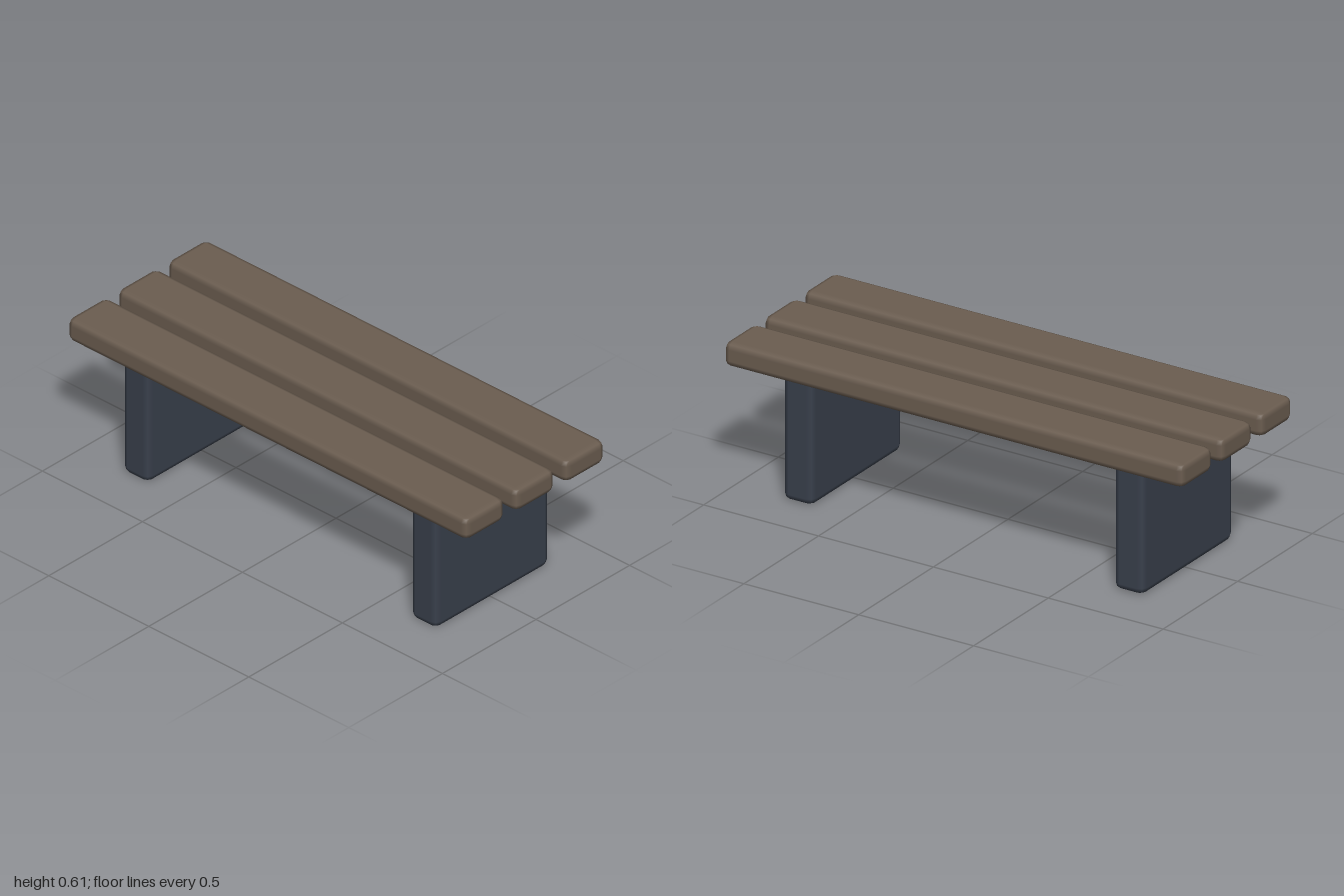
import * as THREE from 'three';
import { RoundedBoxGeometry } from 'three/addons/geometries/RoundedBoxGeometry.js';

export function createModel() {
  const bench = new THREE.Group();
  bench.name = 'bench';

  const wood = new THREE.MeshStandardMaterial({ color: 0x6b5d50 });
  wood.name = 'brown wood';
  const slate = new THREE.MeshStandardMaterial({ color: 0x39404c });
  slate.name = 'dark slate';

  const add = (name, geometry, material, x, y, z) => {
    const mesh = new THREE.Mesh(geometry, material);
    mesh.name = name;
    mesh.position.set(x, y, z);
    bench.add(mesh);
  };

  // Three softly bevelled seat planks running the length of the bench
  const plank = new RoundedBoxGeometry(2, 0.098, 0.21, 1, 0.027);
  ['backPlank', 'middlePlank', 'frontPlank'].forEach((name, i) =>
    add(name, plank, wood, 0, 0.556, (i - 1) * 0.267));

  // Two slab legs
  const leg = new RoundedBoxGeometry(0.13, 0.511, 0.61, 1, 0.027);
  add('leftLeg', leg, slate, 0.72, 0.2555, 0);
  add('rightLeg', leg, slate, -0.72, 0.2555, 0);

  return bench;
}
